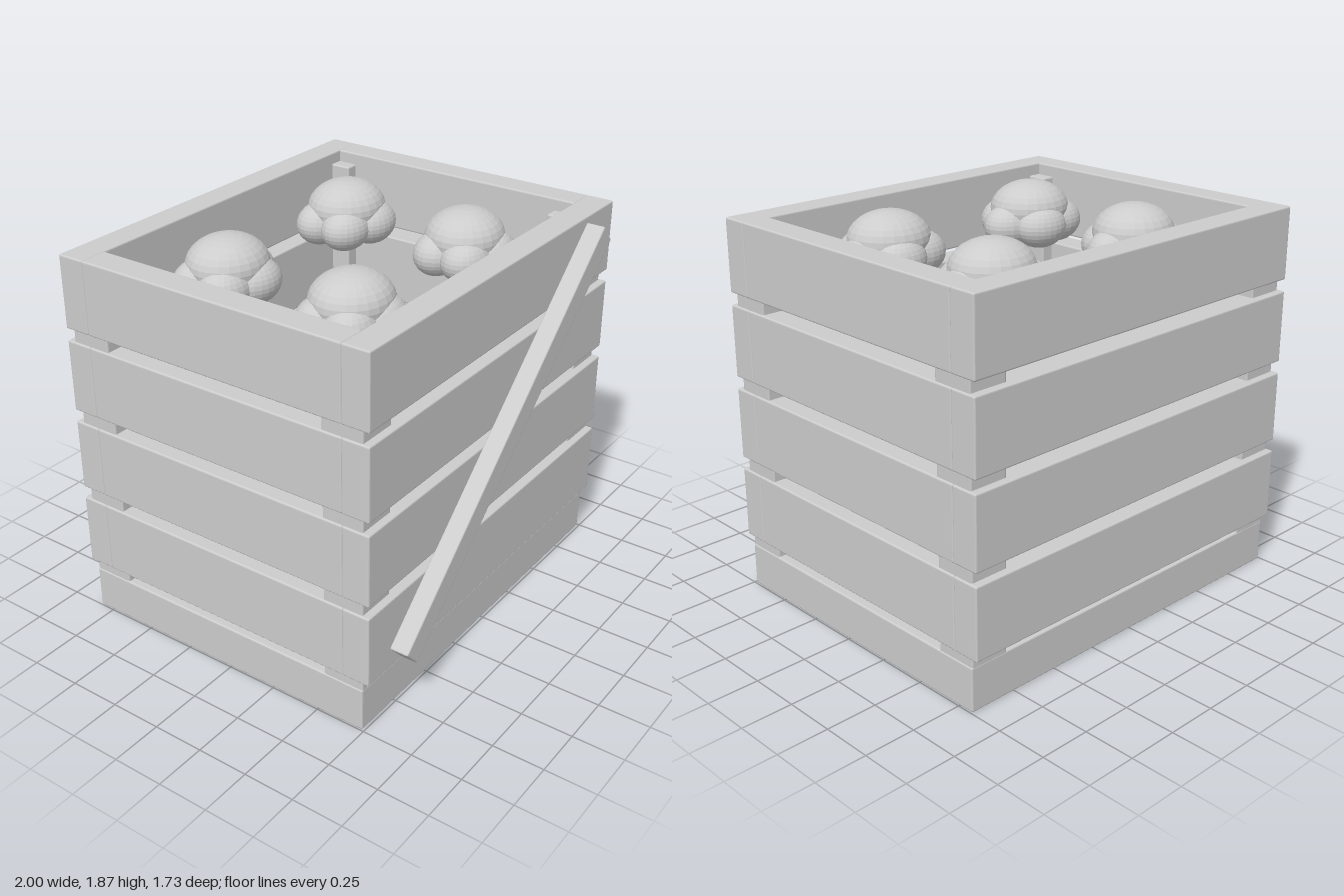
import * as THREE from 'three';
import { RoundedBoxGeometry } from 'three/addons/geometries/RoundedBoxGeometry.js';

const CENTRE_Z = -0.045; // middle of the crate; the brace sticks out in front

export function createModel() {
  const crate = new THREE.Group();
  crate.name = 'slattedCrate';
  const grey = new THREE.MeshStandardMaterial({ color: 0xcccccc, flatShading: true });
  grey.name = 'plain grey';

  // Softly bevelled board between two corners
  function board(name, x0, x1, y0, y1, z0, z1) {
    const geometry = new RoundedBoxGeometry(x1 - x0, y1 - y0, z1 - z0, 2, 0.008);
    const mesh = new THREE.Mesh(geometry, grey);
    mesh.position.set((x0 + x1) / 2, (y0 + y1) / 2, (z0 + z1) / 2);
    mesh.name = name;
    crate.add(mesh);
    return mesh;
  }

  // Solid base
  board('base', -0.995, 0.995, 0, 0.215, -0.83, 0.74);

  // Four rows of slats on all sides
  for (let i = 0; i < 4; i++) {
    const y0 = 0.257 + i * 0.41;
    const y1 = y0 + 0.352;
    board('frontSlat', -1, 1, y0, y1, 0.638, 0.775);
    board('backSlat', -1, 1, y0, y1, -0.865, -0.728);
    board('leftSlat', 0.86, 1, y0, y1, -0.73, 0.64);
    board('rightSlat', -1, -0.86, y0, y1, -0.73, 0.64);
  }

  // Corner posts behind the slats
  for (const x of [-0.893, 0.893]) {
    for (const z of [CENTRE_Z - 0.682, CENTRE_Z + 0.682]) {
      board('cornerPost', x - 0.098, x + 0.098, 0.2, 1.78, z - 0.102, z + 0.102);
    }
  }

  // Diagonal brace across the front
  const brace = board('diagonalBrace', -1.0725, 1.0725, 0, 0.12, 0.772, 0.865);
  brace.position.set(-0.01, 1.04, 0.8185);
  brace.rotation.z = Math.atan2(1.45, 1.58);

  // Round produce heads: a flattened crown ringed by five lobes
  const ball = new THREE.SphereGeometry(1, 24, 16);
  function addBall(group, name, position, radii) {
    const mesh = new THREE.Mesh(ball, grey);
    mesh.name = name;
    mesh.position.set(...position);
    mesh.scale.set(...radii);
    group.add(mesh);
  }
  for (const x of [-0.45, 0.45]) {
    for (const z of [CENTRE_Z - 0.34, CENTRE_Z + 0.34]) {
      const head = new THREE.Group();
      head.name = 'produceHead';
      head.position.set(x, 1.73, z);
      addBall(head, 'crown', [0, 0, 0], [0.2, 0.135, 0.185]);
      for (let i = 0; i < 5; i++) {
        const a = (i / 5) * Math.PI * 2;
        addBall(head, 'lobe', [Math.cos(a) * 0.135, -0.07, Math.sin(a) * 0.125], [0.138, 0.105, 0.112]);
      }
      crate.add(head);
    }
  }

  return crate;
}
